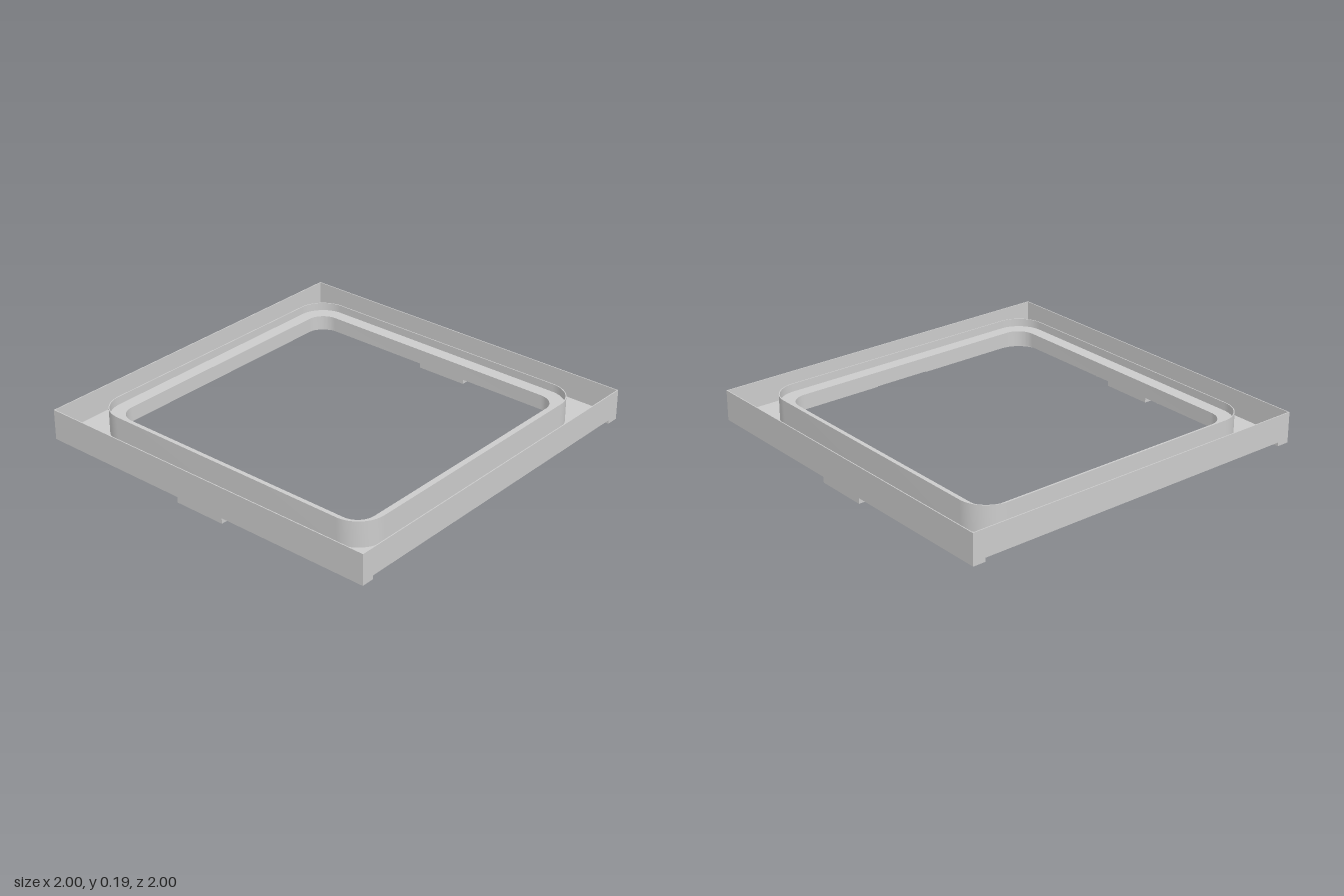
import * as THREE from 'three';
import { toCreasedNormals } from 'three/addons/utils/BufferGeometryUtils.js';

const material = new THREE.MeshStandardMaterial({ color: 0xcccccc });

// Closed rectangle outline with rounded corners, half sizes w and d
function outline(target, w, d, r) {
  if (r === 0) {
    target.moveTo(-w, -d).lineTo(w, -d).lineTo(w, d).lineTo(-w, d).closePath();
    return target;
  }
  target.moveTo(-w + r, -d);
  target.absarc(w - r, -d + r, r, -Math.PI / 2, 0);
  target.absarc(w - r, d - r, r, 0, Math.PI / 2);
  target.absarc(-w + r, d - r, r, Math.PI / 2, Math.PI);
  target.absarc(-w + r, -d + r, r, Math.PI, Math.PI * 1.5);
  target.closePath();
  return target;
}

// Plan shape raised from y0 to y1
function slab(name, shape, y0, y1) {
  const geo = new THREE.ExtrudeGeometry(shape, { depth: y1 - y0, bevelEnabled: false, curveSegments: 10 });
  geo.rotateX(-Math.PI / 2).translate(0, y0, 0);
  const mesh = new THREE.Mesh(toCreasedNormals(geo, 0.5), material);
  mesh.name = name;
  return mesh;
}

function ring(name, outer, inner, y0, y1) {
  const shape = outline(new THREE.Shape(), ...outer);
  shape.holes.push(outline(new THREE.Path(), ...inner));
  return slab(name, shape, y0, y1);
}

function box(name, x0, x1, y0, y1, z0, z1) {
  const mesh = new THREE.Mesh(new THREE.BoxGeometry(x1 - x0, y1 - y0, z1 - z0), material);
  mesh.position.set((x0 + x1) / 2, (y0 + y1) / 2, (z0 + z1) / 2);
  mesh.name = name;
  return mesh;
}

export function createModel() {
  const model = new THREE.Group();
  model.name = 'windowFrame';

  // Thin outer wall, floor and upright lip around the opening
  model.add(ring('outerWall', [1, 1, 0], [0.995, 0.995, 0], 0.05, 0.195));
  model.add(ring('floor', [0.997, 0.997, 0], [0.84, 0.86, 0.15], 0.048, 0.055));
  model.add(ring('innerLip', [0.845, 0.865, 0.155], [0.84, 0.86, 0.15], 0.05, 0.193));

  // Ledge inside the lip that narrows the opening
  model.add(ring('ledge', [0.842, 0.862, 0.152], [0.77, 0.79, 0.1], 0.07, 0.15));

  // Lower floor on each side, cut back along front and back edges
  for (const s of [-1, 1]) {
    const half = new THREE.Shape();
    const pts = [[0.16, 0.86], [0.16, 0.95], [0.93, 0.95], [0.93, 1], [1, 1],
      [1, -1], [0.93, -1], [0.93, -0.95], [0.16, -0.95], [0.16, -0.86]];
    pts.forEach(([x, z], i) => (i ? half.lineTo(s * x, z) : half.moveTo(s * x, z)));
    const arc = (cz, a0, a1) => {
      for (let i = 0; i <= 10; i++) {
        const a = a0 + (a1 - a0) * i / 10;
        half.lineTo(s * (0.69 + 0.15 * Math.cos(a)), cz + 0.15 * Math.sin(a));
      }
    };
    arc(-0.71, -Math.PI / 2, 0);
    arc(0.71, 0, Math.PI / 2);
    half.closePath();
    model.add(slab('lowerFloor', half, 0.03, 0.05));

    // Foot pad and two small ribs beside it
    const side = new THREE.Group();
    side.name = s > 0 ? 'leftFoot' : 'rightFoot';
    const [a, b] = s > 0 ? [0.84, 1] : [-1, -0.84];
    side.add(box('footPad', a, b, 0, 0.031, -0.145, 0.145));
    const [c, d] = s > 0 ? [0.84, 0.93] : [-0.93, -0.84];
    for (const z of [-0.235, 0.235]) side.add(box('rib', c, d, 0.024, 0.031, z - 0.006, z + 0.006));
    model.add(side);
  }
  return model;
}
